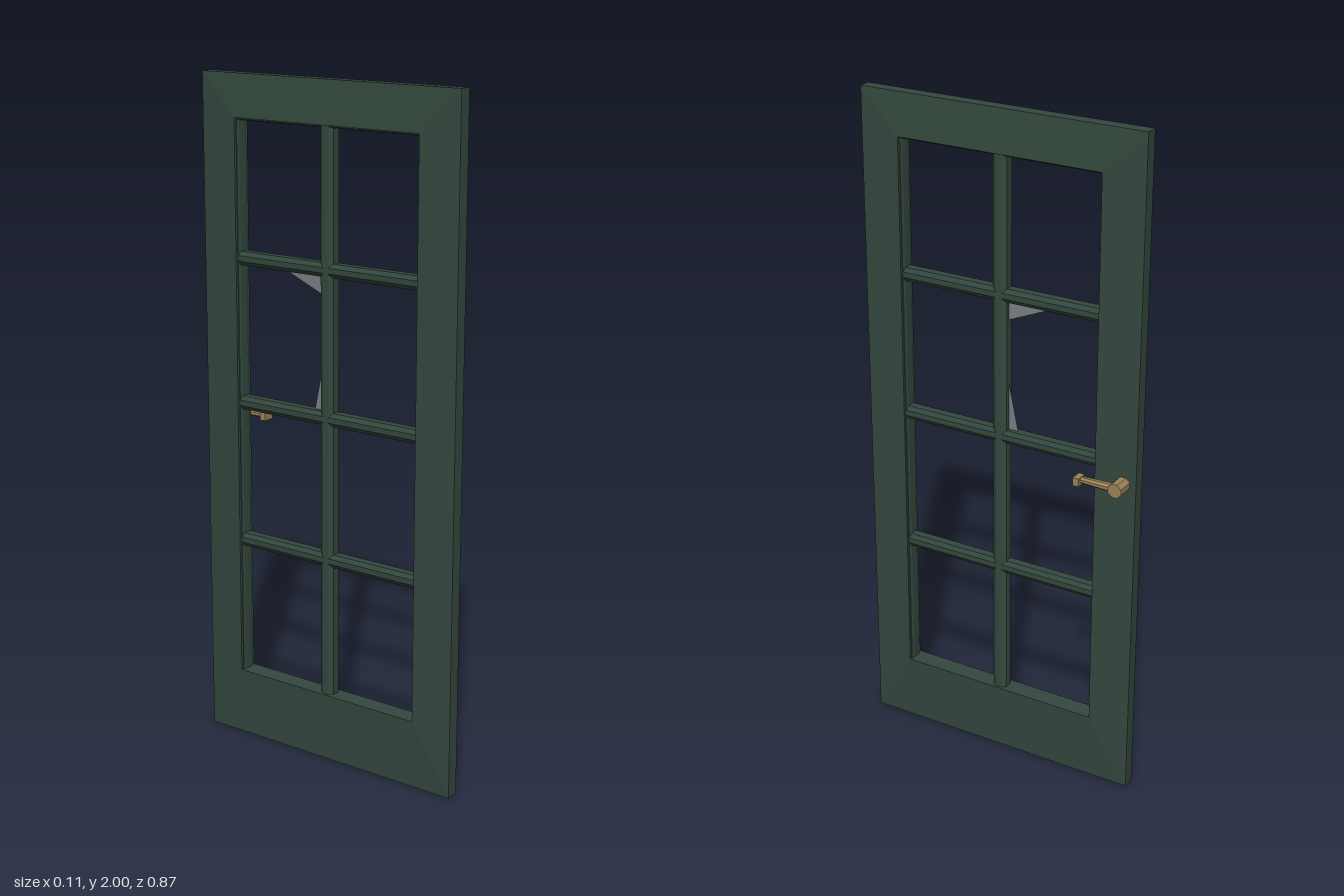
import * as THREE from 'three';

const TOP = 1.877, BOTTOM = 0.208, SIDE = 0.314; // glazed opening

// Bar with a ridged six-sided section, running along +z before it is turned
function barGeometry(length, width, depth) {
  const w = width / 2, d = depth / 2, f = width * 0.2;
  const s = new THREE.Shape([
    [d, -f], [d, f], [d * 0.6, w], [-d * 0.6, w], [-d, f], [-d, -f], [-d * 0.6, -w], [d * 0.6, -w],
  ].map(([x, y]) => new THREE.Vector2(x, y)));
  const g = new THREE.ExtrudeGeometry(s, { depth: length, bevelEnabled: false });
  return g.translate(0, 0, -length / 2);
}

// Mitred frame: four rectangular rings, thicker at the opening than at the rim
function frameGeometry() {
  const ring = (x, z, y0, y1) => [[x, y0, z], [x, y0, -z], [x, y1, -z], [x, y1, z]];
  const outer = [0.437, 0, 2], inner = [SIDE, BOTTOM, TOP];
  const rings = [
    ring(0.019, ...outer), ring(0.029, ...inner),
    ring(-0.029, ...inner), ring(-0.019, ...outer),
  ];
  const pos = [];
  rings.forEach((a, r) => {
    const b = rings[(r + 1) % 4];
    for (let i = 0; i < 4; i++) {
      const j = (i + 1) % 4;
      pos.push(...a[i], ...a[j], ...b[j], ...a[i], ...b[j], ...b[i]);
    }
  });
  const g = new THREE.BufferGeometry();
  g.setAttribute('position', new THREE.Float32BufferAttribute(pos, 3));
  g.computeVertexNormals();
  return g;
}

export function createModel() {
  const green = new THREE.MeshStandardMaterial({ color: 0x34483e });
  green.name = 'dark green paint';
  const brass = new THREE.MeshStandardMaterial({ color: 0x9c8259 });
  brass.name = 'aged brass';
  const grey = new THREE.MeshStandardMaterial({ color: 0x7c8083, side: THREE.DoubleSide });
  grey.name = 'dusty glass';

  const model = new THREE.Group();
  model.name = 'door';
  const leaf = new THREE.Group();
  leaf.name = 'doorLeaf';
  leaf.position.x = -0.012;
  leaf.rotation.y = 0.041; // slightly ajar
  model.add(leaf);

  const add = (name, geometry, material, parent = leaf) => {
    const m = new THREE.Mesh(geometry, material);
    m.name = name;
    parent.add(m);
    return m;
  };

  add('frame', frameGeometry(), green);

  // Glazing bars
  const upright = add('verticalBar', barGeometry(TOP - BOTTOM, 0.044, 0.042), green);
  upright.rotation.x = Math.PI / 2;
  upright.position.y = (TOP + BOTTOM) / 2;
  [1.476, 1.048, 0.625].forEach((y, i) => {
    add(`horizontalBar${i + 1}`, barGeometry(SIDE * 2, 0.04, 0.042), green).position.y = y;
  });
  // Thin beads at the head and sides of the opening
  add('headBead', barGeometry(SIDE * 2, 0.016, 0.042), green).position.y = TOP;
  for (const s of [-1, 1]) {
    const bead = add(s > 0 ? 'frontBead' : 'backBead', barGeometry(TOP - BOTTOM, 0.01, 0.042), green);
    bead.rotation.x = Math.PI / 2;
    bead.position.set(0, (TOP + BOTTOM) / 2, s * SIDE);
  }

  // Broken glass left in one pane, given as [z, y] corners
  const shard = (name, pts) => {
    const s = new THREE.Shape(pts.map(([z, y]) => new THREE.Vector2(-z, y)));
    add(name, new THREE.ShapeGeometry(s), grey).rotation.y = Math.PI / 2;
  };
  shard('upperShard', [[0, 1.47], [-0.16, 1.47], [-0.14, 1.451], [-0.02, 1.4], [0, 1.395]]);
  shard('lowerShard', [[-0.01, 1.05], [-0.056, 1.05], [-0.022, 1.21], [-0.01, 1.24]]);

  // Lever handle on the +x face
  const handle = new THREE.Group();
  handle.name = 'handle';
  handle.position.set(0, 1, -0.398);
  leaf.add(handle);
  const flat = (r0, r1, h, n) => new THREE.CylinderGeometry(r0, r1, h, n).rotateY(Math.PI / n).toNonIndexed();
  const neck = flat(0.022, 0.022, 0.054, 8);
  neck.computeVertexNormals();
  const neckMesh = add('handleNeck', neck, brass, handle);
  neckMesh.rotation.z = -Math.PI / 2;
  neckMesh.position.x = 0.046;
  const lever = flat(0.0105, 0.0155, 0.115, 8);
  lever.computeVertexNormals();
  const leverMesh = add('handleLever', lever, brass, handle);
  leverMesh.rotation.x = Math.PI / 2;
  leverMesh.scale.z = 0.85;
  leverMesh.position.set(0.056, 0, 0.064);
  const tip = add('handleTip', new THREE.BoxGeometry(0.036, 0.024, 0.018), brass, handle);
  tip.position.set(0.058, -0.002, 0.119);

  return model;
}
